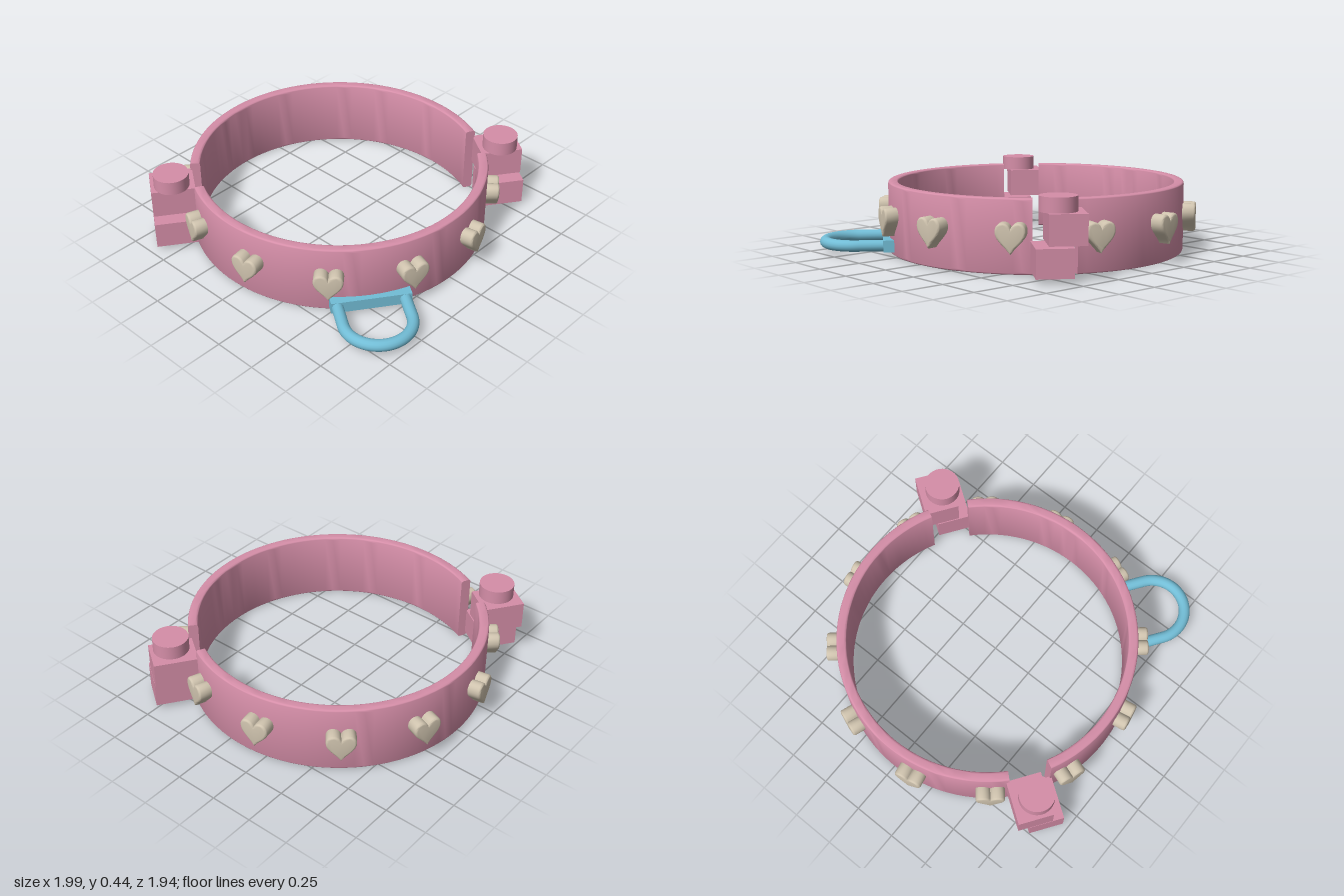
import * as THREE from 'three';
import { toCreasedNormals } from 'three/addons/utils/BufferGeometryUtils.js';

const rad = THREE.MathUtils.degToRad;

export function createModel() {
  const pink = new THREE.MeshStandardMaterial({ name: 'pink', color: 0xd58ea8, side: THREE.DoubleSide });
  const cream = new THREE.MeshStandardMaterial({ name: 'cream', color: 0xcfc3ae });
  const blue = new THREE.MeshStandardMaterial({ name: 'blue', color: 0x72bdd6 });

  const model = new THREE.Group();
  model.name = 'collar';
  // everything is laid out around the axis of the band
  const band = new THREE.Group();
  band.name = 'band';
  band.position.x = -0.073;
  model.add(band);

  const add = (parent, name, geometry, material, x = 0, y = 0, z = 0) => {
    const mesh = new THREE.Mesh(geometry, material);
    mesh.name = name;
    mesh.position.set(x, y, z);
    parent.add(mesh);
    return mesh;
  };
  // group turned so its +x points outwards at the given angle (90 = back)
  const spoke = (name, degrees) => {
    const group = new THREE.Group();
    group.name = name;
    group.rotation.y = rad(degrees);
    band.add(group);
    return group;
  };

  // two half bands with a rounded rectangular section and flat ends
  const r0 = 0.8, r1 = 0.858, y0 = 0.003, y1 = 0.407, b = 0.015;
  const section = new THREE.Shape();
  section.moveTo(r1, y0 + b);
  section.lineTo(r1, y1 - b);
  section.quadraticCurveTo(r1, y1, r1 - b, y1);
  section.lineTo(r0 + b, y1);
  section.quadraticCurveTo(r0, y1, r0, y1 - b);
  section.lineTo(r0, y0 + b);
  section.quadraticCurveTo(r0, y0, r0 + b, y0);
  section.lineTo(r1 - b, y0);
  section.quadraticCurveTo(r1, y0, r1, y0 + b);
  const profile = section.getPoints(4);
  const middle = 55.1, gap = 16;
  for (let i = 0; i < 2; i++) {
    const start = middle + gap / 2 + i * 180, sweep = 180 - gap;
    const shell = new THREE.LatheGeometry(profile, 48, rad(start + 90), rad(sweep));
    add(band, 'halfBand', toCreasedNormals(shell, 0.6), pink);
    for (const a of [start, start + sweep]) {
      add(spoke('bandEnd', a), 'bandEndFace', new THREE.ShapeGeometry(section, 4), pink);
    }
  }

  // hinge and clasp: two staggered blocks on a headed pin
  for (const [name, angle, s] of [['backHinge', middle, 1], ['frontClasp', middle + 180, -1]]) {
    const joint = spoke(name, angle);
    add(joint, 'upperBlock', new THREE.BoxGeometry(0.248, 0.164, 0.2), pink, 0.964, 0.278, -0.037 * s);
    add(joint, 'lowerBlock', new THREE.BoxGeometry(0.248, 0.155, 0.2), pink, 0.964, 0.107, 0.03 * s);
    add(joint, 'pinHead', new THREE.CylinderGeometry(0.101, 0.101, 0.082, 40), pink, 0.968, 0.4, 0);
    add(joint, 'pin', new THREE.CylinderGeometry(0.028, 0.028, 0.36, 24), pink, 0.968, 0.19, 0);
  }

  // twelve heart studs
  const heart = new THREE.Shape();
  heart.moveTo(0, -0.085);
  heart.bezierCurveTo(0.03, -0.04, 0.082, -0.012, 0.082, 0.034);
  heart.bezierCurveTo(0.082, 0.094, 0.014, 0.094, 0, 0.05);
  heart.bezierCurveTo(-0.014, 0.094, -0.082, 0.094, -0.082, 0.034);
  heart.bezierCurveTo(-0.082, -0.012, -0.03, -0.04, 0, -0.085);
  const stud = toCreasedNormals(new THREE.ExtrudeGeometry(heart, {
    depth: 0.064, curveSegments: 10,
    bevelEnabled: true, bevelThickness: 0.012, bevelSize: 0.012, bevelOffset: -0.012, bevelSegments: 3,
  }), 0.6);
  for (let i = 0; i < 12; i++) {
    const mesh = add(spoke('heartMount', 10 + i * 30), 'heartStud', stud, cream, 0.853, 0.205, 0);
    mesh.rotation.y = Math.PI / 2;
  }

  // D-shaped leash loop on a short bar
  const loop = spoke('leashLoop', -35);
  add(loop, 'loopBar', new THREE.BoxGeometry(0.062, 0.067, 0.446), blue, 0.86, 0.06, 0);
  const w = 0.187, reach = 1.034;
  class LoopCurve extends THREE.Curve {
    getPoint(t, target = new THREE.Vector3()) {
      const leg = reach - 0.87, arc = Math.PI * w, d = t * (2 * leg + arc);
      if (d < leg) return target.set(0.87 + d, 0, -w);
      if (d > leg + arc) return target.set(reach - (d - leg - arc), 0, w);
      const a = (d - leg) / w;
      return target.set(reach + w * Math.sin(a), 0, -w * Math.cos(a));
    }
  }
  add(loop, 'loopRing', new THREE.TubeGeometry(new LoopCurve(), 64, 0.033, 16), blue, 0, 0.06, 0);

  return model;
}
